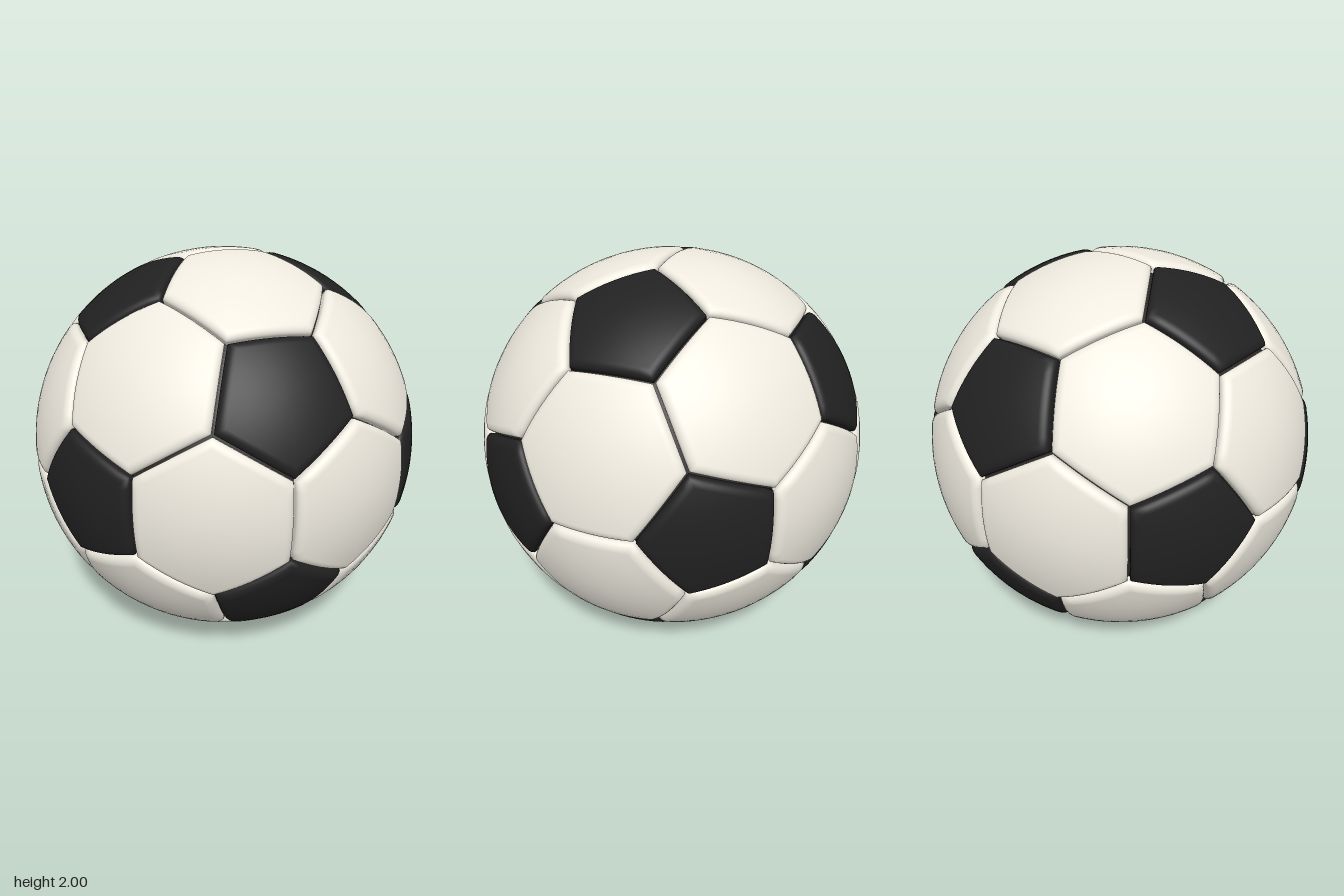
import * as THREE from 'three';

const GAP = 0.006;     // half width of the seam between panels
const BEVEL = 0.045;   // width of the rounded panel edge
const DEPTH = 0.03;    // drop of the rounded edge
const CORE = 0.95;     // radius of the dark ball under the seams
const STEPS = 8;       // subdivisions per panel side

// The 12 corners of an icosahedron: the pentagon centres
function pentagonCentres() {
  const p = (1 + Math.sqrt(5)) / 2, out = [];
  for (const a of [-1, 1]) for (const b of [-p, p]) {
    out.push(new THREE.Vector3(0, a, b), new THREE.Vector3(a, b, 0), new THREE.Vector3(b, 0, a));
  }
  return out.map(v => v.normalize());
}

// Padded panel: concentric polygon rings pushed out to the sphere, rounded off at the rim
function panelGeometry(normal, corners) {
  const n = corners.length;
  const centre = new THREE.Vector3();
  corners.forEach(c => centre.addScaledVector(c, 1 / n));

  // order the corners counter-clockwise seen from outside
  const u = corners[0].clone().sub(centre).normalize();
  const w = normal.clone().cross(u);
  const angle = c => { const d = c.clone().sub(centre); return Math.atan2(d.dot(w), d.dot(u)); };
  const ring = [...corners].sort((a, b) => angle(a) - angle(b));
  const apothem = ring[0].clone().lerp(ring[1], 0.5).distanceTo(centre) - GAP;
  const shrink = apothem / (apothem + GAP);

  // [distance from the rim, radius] of every ring
  const rings = [];
  for (let i = 1; i <= 6; i++) rings.push([apothem + (BEVEL - apothem) * i / 6, 1]);
  for (let i = 1; i <= 7; i++) {
    const a = (i / 7) * Math.PI / 2;
    rings.push([BEVEL * (1 - Math.sin(a)), 1 - DEPTH * (1 - Math.cos(a))]);
  }
  rings.push([0, CORE - 0.01]);

  const count = n * STEPS;
  const pos = [...normal.toArray()], index = [];
  rings.forEach(([d, r], k) => {
    const t = shrink * (1 - d / apothem);
    for (let j = 0; j < count; j++) {
      const side = Math.floor(j / STEPS);
      const p = ring[side].clone().lerp(ring[(side + 1) % n], (j % STEPS) / STEPS);
      p.sub(centre).multiplyScalar(t).add(centre).setLength(r);
      pos.push(p.x, p.y, p.z);
      const j2 = (j + 1) % count;
      const a = 1 + k * count + j, b = 1 + k * count + j2;
      if (k === 0) index.push(0, a, b);
      else index.push(a - count, a, b, a - count, b, b - count);
    }
  });
  const g = new THREE.BufferGeometry();
  g.setAttribute('position', new THREE.Float32BufferAttribute(pos, 3));
  g.setIndex(index);
  g.computeVertexNormals();
  return g;
}

export function createModel() {
  const ball = new THREE.Group();
  ball.name = 'football';
  const white = new THREE.MeshStandardMaterial({ color: 0xeeeadf });
  const black = new THREE.MeshStandardMaterial({ color: 0x222121 });
  const dark = new THREE.MeshStandardMaterial({ color: 0x2b2825 });

  const pents = pentagonCentres();
  const near = (a, b) => a !== b && a.dot(b) > 0.4;

  // panel corners lie a third of the way along each icosahedron edge
  const corners = [];
  for (const a of pents) for (const b of pents) {
    if (near(a, b)) corners.push(a.clone().lerp(b, 1 / 3).normalize());
  }

  // hexagon centres: one per icosahedron face
  const hexes = [];
  pents.forEach((a, i) => pents.forEach((b, j) => pents.forEach((c, k) => {
    if (i < j && j < k && near(a, b) && near(b, c) && near(a, c)) {
      hexes.push(a.clone().add(b).add(c).normalize());
    }
  })));

  const addPanels = (centres, sides, material, name) => centres.forEach((dir, i) => {
    const nearest = [...corners].sort((a, b) => b.dot(dir) - a.dot(dir)).slice(0, sides);
    const mesh = new THREE.Mesh(panelGeometry(dir, nearest), material);
    mesh.name = name + (i + 1);
    mesh.position.y = 1;
    ball.add(mesh);
  });
  addPanels(pents, 5, black, 'pentagonPanel');
  addPanels(hexes, 6, white, 'hexagonPanel');

  // dark ball seen at the bottom of the seams
  const core = new THREE.Mesh(new THREE.SphereGeometry(CORE, 64, 40), dark);
  core.name = 'seamCore';
  core.position.y = 1;
  ball.add(core);
  return ball;
}
